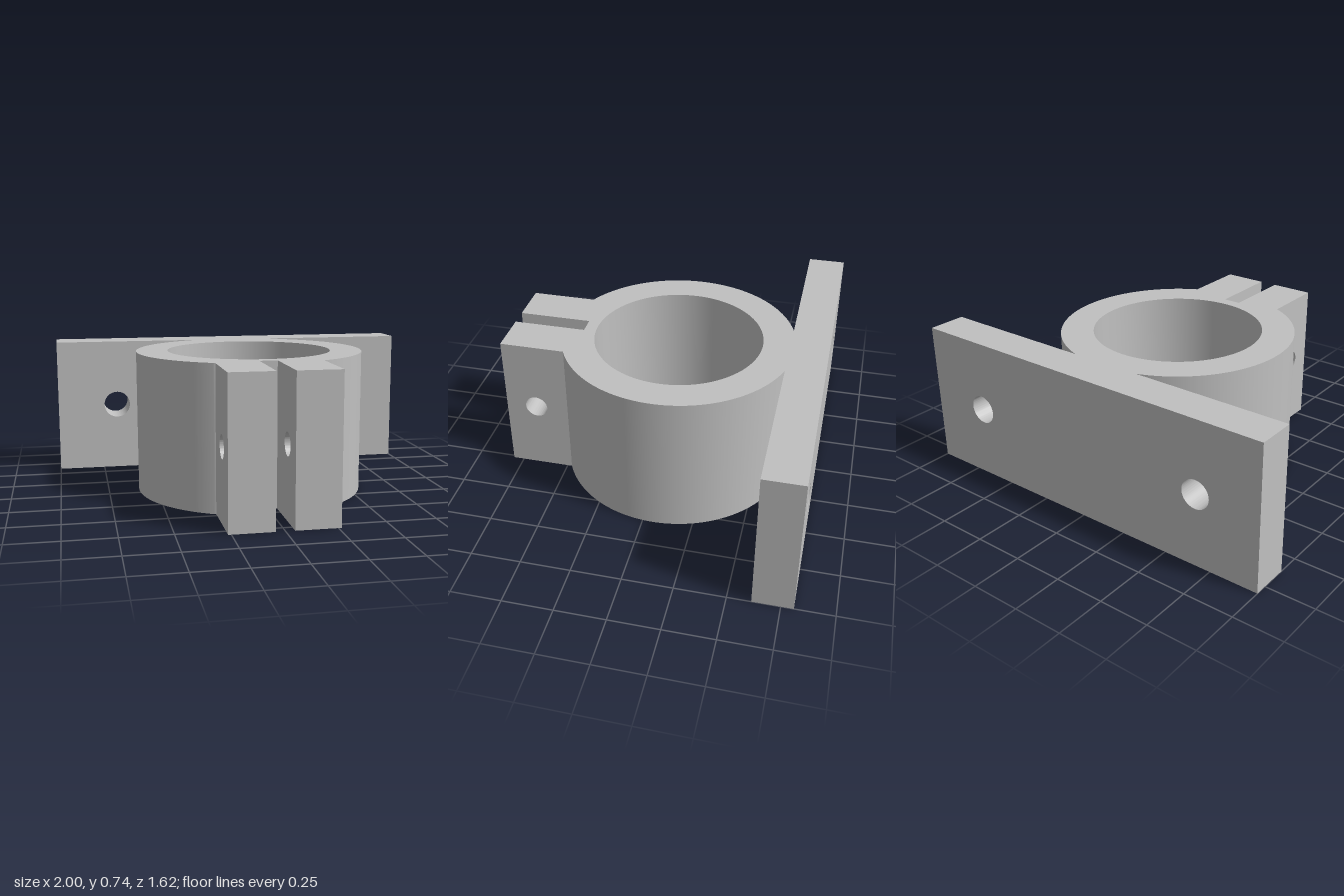
import * as THREE from 'three';
import { toCreasedNormals } from 'three/addons/utils/BufferGeometryUtils.js';

const HEIGHT = 0.735;
const RING_Z = -0.053, OUTER = 0.592, INNER = 0.428;
const PLATE_BACK = -0.81, PLATE_FRONT = -0.615;
const LUG_X = 0.265, SLOT_X = 0.045, SLOT_Z = 0.435, LUG_END = 0.806;

function extrude(shape, depth) {
  const g = new THREE.ExtrudeGeometry(shape, { depth, bevelEnabled: false, curveSegments: 64 });
  return toCreasedNormals(g, 0.5);
}

function rectangle(x0, y0, x1, y1) {
  return new THREE.Shape([[x0, y0], [x1, y0], [x1, y1], [x0, y1]].map(p => new THREE.Vector2(...p)));
}

function drill(shape, x, y, r) {
  shape.holes.push(new THREE.Path().absarc(x, y, r, 0, Math.PI * 2, true));
}

export function createModel() {
  const group = new THREE.Group();
  const metal = new THREE.MeshStandardMaterial({ color: 0xc0c0c0 });
  metal.name = 'light grey metal';
  const add = (name, geometry) => {
    const mesh = new THREE.Mesh(geometry, metal);
    mesh.name = name;
    group.add(mesh);
  };

  // Mounting plate with two screw holes
  const plate = rectangle(-1, 0, 1, HEIGHT);
  for (const s of [-1, 1]) drill(plate, s * 0.667, 0.37, 0.073);
  add('mountingPlate', extrude(plate, PLATE_FRONT - PLATE_BACK).translate(0, 0, PLATE_BACK));

  // Clamp ring, flattened against the plate and notched at the front (shape y = -z)
  const lugDz = Math.sqrt(OUTER ** 2 - LUG_X ** 2);
  const lugZ = RING_Z + lugDz;
  const plateDz = RING_Z - PLATE_FRONT;
  const lugAngle = Math.atan2(-lugDz, LUG_X);
  const plateAngle = Math.asin(plateDz / OUTER);
  const ring = new THREE.Shape();
  ring.absarc(0, -RING_Z, OUTER, lugAngle, plateAngle, false);
  ring.absarc(0, -RING_Z, OUTER, Math.PI - plateAngle, Math.PI - lugAngle, false);
  ring.lineTo(-SLOT_X, -lugZ);
  ring.lineTo(-SLOT_X, -SLOT_Z);
  ring.lineTo(SLOT_X, -SLOT_Z);
  ring.lineTo(SLOT_X, -lugZ);
  ring.closePath();
  drill(ring, 0, -RING_Z, INNER);
  add('clampRing', extrude(ring, HEIGHT).rotateX(-Math.PI / 2));

  // Clamping lugs with a cross bolt hole (shape x = -z)
  for (const [name, x] of [['leftLug', SLOT_X], ['rightLug', -LUG_X]]) {
    const lug = rectangle(-LUG_END, 0, -lugZ, HEIGHT);
    drill(lug, -0.645, 0.37, 0.058);
    add(name, extrude(lug, LUG_X - SLOT_X).rotateY(Math.PI / 2).translate(x, 0, 0));
  }
  return group;
}
